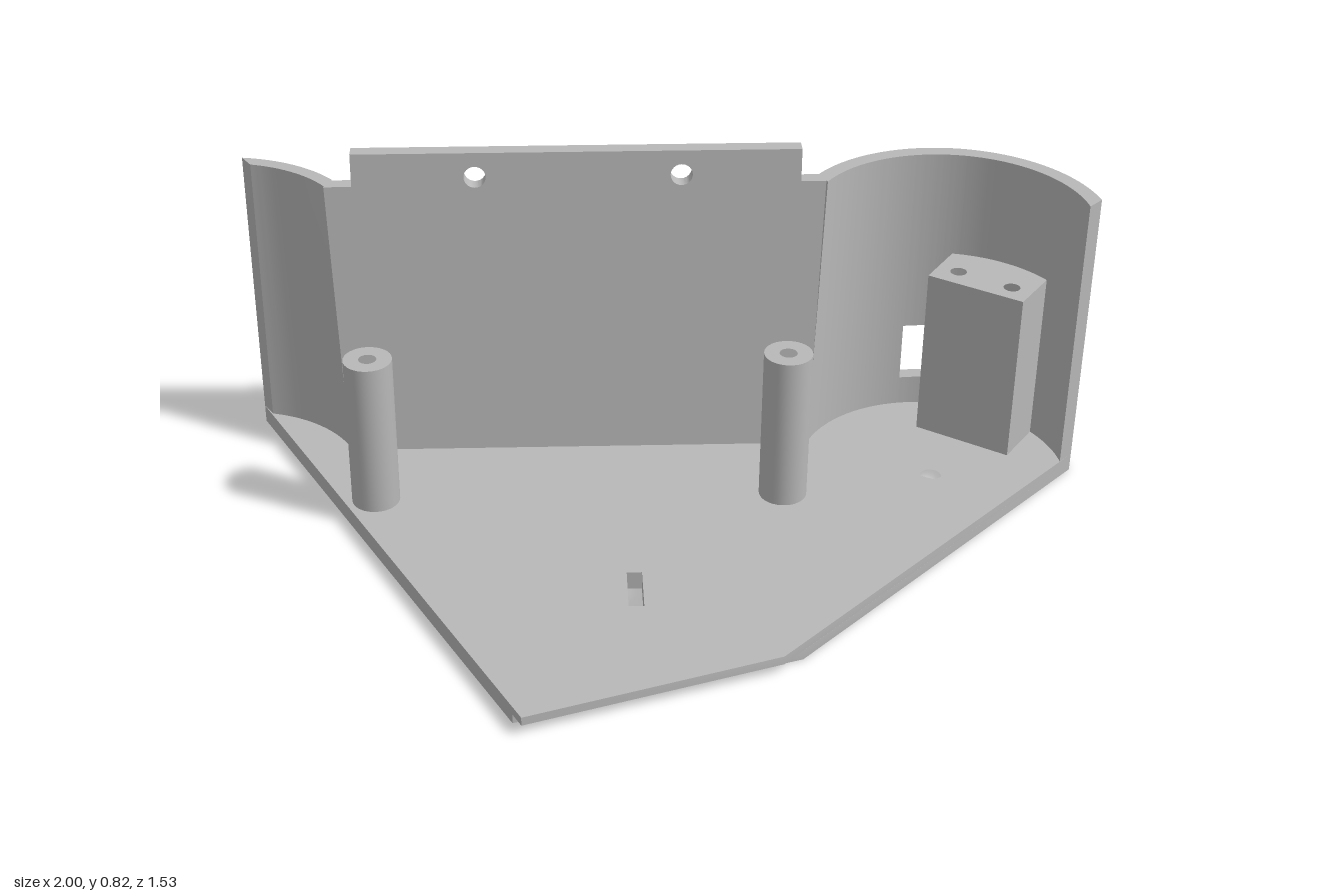
import * as THREE from 'three';
import { toCreasedNormals } from 'three/addons/utils/BufferGeometryUtils.js';

const V = (x, z) => new THREE.Vector2(x, z);
const FLOOR = 0.045, LIP = 0.024, RIM = 0.74;
const THICK = 0.037;

// the two curved corners (plan coordinates x, z)
const big = { c: V(0.683, -0.41), inner: 0.322, outer: 0.36 };
const small = { c: V(-0.94, 0.11), inner: 0.316, outer: 0.35 };
const angle = (k, x, z) => Math.atan2(z - k.c.y, x - k.c.x);

function arc(c, r, a0, a1, n = 28) {
  return Array.from({ length: n + 1 }, (_, i) => {
    const a = a0 + (a1 - a0) * i / n;
    return V(c.x + r * Math.cos(a), c.y + r * Math.sin(a));
  });
}
const circle = (x, z, r, n = 24) => arc(V(x, z), r, 0, Math.PI * 2, n).slice(0, n);

// vertical prism from a plan outline with holes
function slab(points, holes, y0, y1) {
  const flip = list => list.map(p => V(p.x, -p.y));
  const shape = new THREE.Shape(flip(points));
  shape.holes = holes.map(h => new THREE.Path(flip(h)));
  const g = new THREE.ExtrudeGeometry(shape, { depth: y1 - y0, bevelEnabled: false });
  g.rotateX(-Math.PI / 2).translate(0, y0, 0);
  return toCreasedNormals(g, 0.5);
}

// solid between two plan outlines of equal point count
function loft(low, high, y0, y1) {
  if (THREE.ShapeUtils.area(low) < 0) { low = low.slice().reverse(); high = high.slice().reverse(); }
  const n = low.length, pos = [], idx = [];
  low.forEach(p => pos.push(p.x, y0, p.y));
  high.forEach(p => pos.push(p.x, y1, p.y));
  for (let i = 0; i < n; i++) {
    const j = (i + 1) % n;
    idx.push(i, n + i, n + j, i, n + j, j);
  }
  for (const [a, b, c] of THREE.ShapeUtils.triangulateShape(low, [])) idx.push(a, b, c);
  for (const [a, b, c] of THREE.ShapeUtils.triangulateShape(high, [])) idx.push(n + a, n + c, n + b);
  const g = new THREE.BufferGeometry();
  g.setAttribute('position', new THREE.Float32BufferAttribute(pos, 3));
  g.setIndex(idx);
  return toCreasedNormals(g.toNonIndexed(), 0.5);
}

// curved wall piece; each end is [inner angle, outer angle]
function ring(k, start, end, y0, y1, topStart = start, topEnd = end) {
  const outline = (s, e) => [
    ...arc(k.c, k.outer, s[1], e[1]),
    ...arc(k.c, k.inner, s[0], e[0]).reverse(),
  ];
  return loft(outline(start, end), outline(topStart, topEnd), y0, y1);
}

export function createModel() {
  const model = new THREE.Group();
  const grey = new THREE.MeshStandardMaterial({ color: 0xb8b8b8 });
  grey.name = 'grey plastic';
  const add = (name, geometry) => {
    const mesh = new THREE.Mesh(geometry, grey);
    mesh.name = name;
    model.add(mesh);
  };

  // direction of the straight wall and its outward normal in plan
  const tilt = THREE.MathUtils.degToRad(18);
  const d = V(Math.cos(tilt), -Math.sin(tilt)), n = V(-Math.sin(tilt), -Math.cos(tilt));

  // end angles of the curved walls, where they meet the leaning wall and the floor edges
  const smallStart = [angle(small, -0.965, -0.205), angle(small, -1, -0.235)];
  const smallEnd = [angle(small, -0.71, -0.1), angle(small, -0.7, -0.143)];
  const smallEndTop = [angle(small, -0.75, -0.14), angle(small, -0.75, -0.178)];
  const bigStart = [angle(big, 0.365, -0.45), angle(big, 0.33, -0.477)];
  const bigStartTop = [angle(big, 0.37, -0.5), angle(big, 0.345, -0.535)];
  const bigEnd = [angle(big, 0.975, -0.537), angle(big, 1, -0.58)];

  // floor in two layers, the lower one set back under the front lip
  const back = [
    ...arc(small.c, small.outer, smallStart[1], smallEnd[1]),
    ...arc(big.c, big.outer, bigStart[1], bigEnd[1], 40),
  ];
  const slots = [0, 1, 2].map(i => {
    const c = V(-0.1 + 0.112 * i, 0.335 - 0.036 * i);
    return [[-1, -1], [1, -1], [1, 1], [-1, 1]].map(([s, t]) =>
      c.clone().addScaledVector(d, s * 0.0175).addScaledVector(n, t * 0.064));
  });
  const nut = circle(0.68, -0.42, 0.05, 6).map(p => p.rotateAround(V(0.68, -0.42), 0.2));
  add('floorLower', slab([...back, V(0.53, 0.351), V(-0.01, 0.735)],
    [...slots, circle(0.68, -0.42, 0.026)], 0, LIP));
  add('floorUpper', slab([...back, V(0.5, 0.41), V(0.02, 0.765)], [...slots, nut], LIP, FLOOR));

  // leaning back wall with raised tab and two screw holes
  const profile = new THREE.Shape([
    V(-0.547, FLOOR), V(0.584, FLOOR), V(0.604, RIM), V(0.545, RIM),
    V(0.545, 0.82), V(-0.508, 0.82), V(-0.508, RIM), V(-0.573, RIM),
  ]);
  profile.holes = [-0.22, 0.264].map(u => new THREE.Path(circle(u, 0.76, 0.026)));
  const wall = new THREE.ExtrudeGeometry(profile, { depth: THICK, bevelEnabled: false });
  const p = wall.attributes.position;
  for (let i = 0; i < p.count; i++) {
    const u = p.getX(i), y = p.getY(i);
    const off = THICK - p.getZ(i) + 0.07 * (y - FLOOR);
    p.setXYZ(i, -0.19 + u * d.x + off * n.x, y, -0.269 + u * d.y + off * n.y);
  }
  add('backWall', toCreasedNormals(wall, 0.5));

  // curved walls, the big one with a cable window
  add('smallCurvedWall', ring(small, smallStart, smallEnd, FLOOR, RIM, smallStart, smallEndTop));
  const w0 = [-2.007, -2.007], w1 = [-1.623, -1.623];
  add('bigCurvedWallInner', ring(big, bigStart, w0, FLOOR, RIM, bigStartTop, w0));
  add('bigCurvedWallOuter', ring(big, w1, bigEnd, FLOOR, RIM));
  add('windowSill', ring(big, w0, w1, FLOOR, 0.12));
  add('windowHeader', ring(big, w0, w1, 0.27, RIM));

  // mounting block against the big curved wall
  const block = [
    V(0.85, -0.53), V(0.613, -0.6),
    ...arc(big.c, 0.328, angle(big, 0.652, -0.735), angle(big, 0.89, -0.66), 12),
  ];
  add('mountingBlock', slab(block,
    [circle(0.68, -0.64, 0.02), circle(0.815, -0.595, 0.02)], FLOOR, 0.475));

  // hollow screw posts
  for (const [x, z] of [[-0.57, 0.085], [0.355, -0.215]]) {
    add('screwPost', slab(circle(x, z, 0.057, 32), [circle(x, z, 0.021)], FLOOR, 0.43));
  }
  return model;
}
